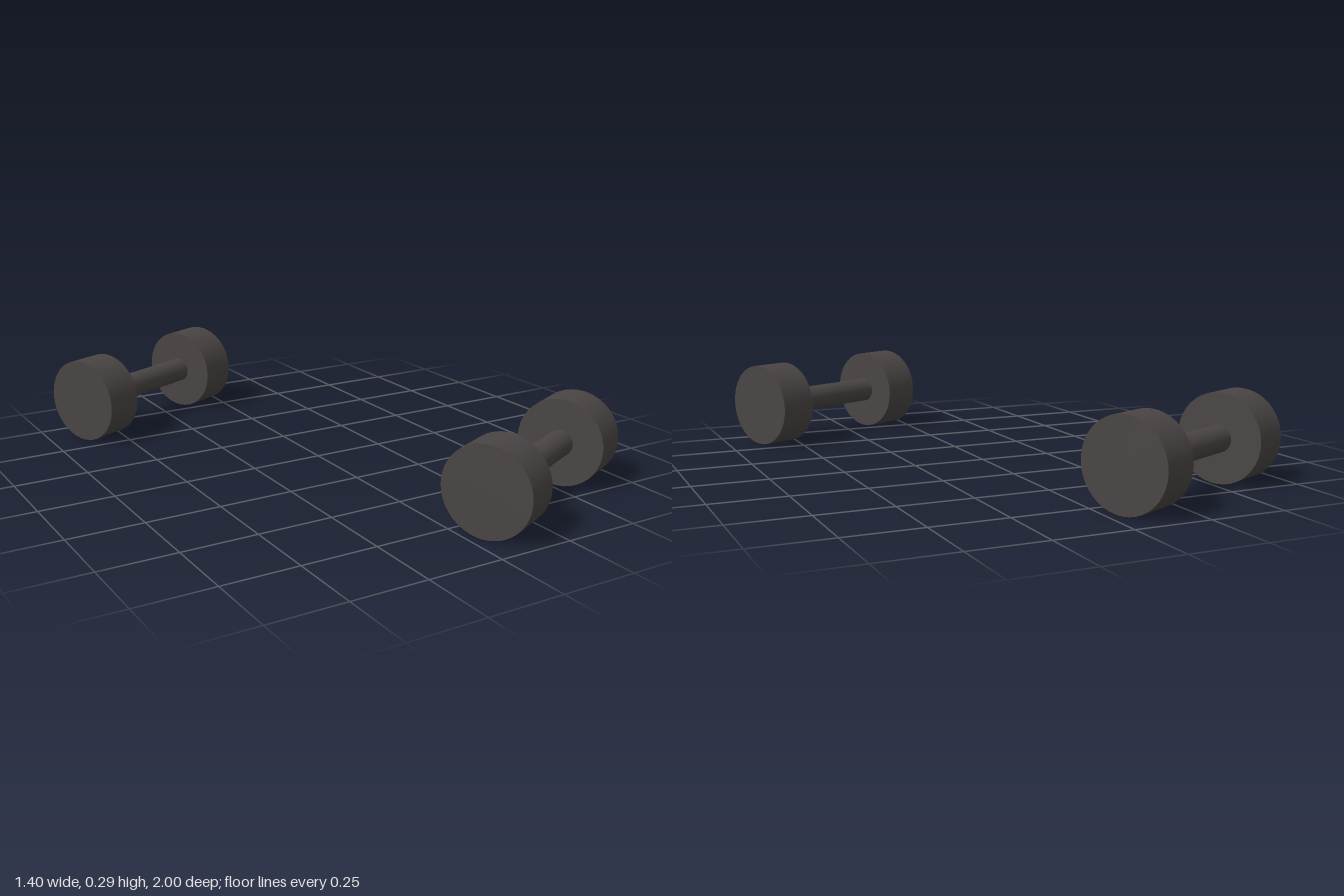
import * as THREE from 'three';

const RADIUS = 0.146;      // weight radius, also the height of the bar's axis
const THICKNESS = 0.132;   // weight thickness
const SPACING = 0.53;      // distance between weight centres

export function createModel() {
  const model = new THREE.Group();
  model.name = 'dumbbellPair';
  const iron = new THREE.MeshStandardMaterial({ color: 0x4a4544 });
  iron.name = 'dark iron';

  // Cylinder lying along x
  function rod(name, radius, length, x) {
    const geometry = new THREE.CylinderGeometry(radius, radius, length, 40);
    geometry.rotateZ(Math.PI / 2);
    const mesh = new THREE.Mesh(geometry, iron);
    mesh.name = name;
    mesh.position.x = x;
    return mesh;
  }

  // Two parallel dumbbells, one in front and one behind
  for (const side of [1, -1]) {
    const dumbbell = new THREE.Group();
    dumbbell.name = side > 0 ? 'frontDumbbell' : 'backDumbbell';
    dumbbell.add(
      rod('handle', 0.044, SPACING - THICKNESS + 0.02, 0),
      rod('leftWeight', RADIUS, THICKNESS, SPACING / 2),
      rod('rightWeight', RADIUS, THICKNESS, -SPACING / 2),
    );
    dumbbell.position.set(0.34 * side, RADIUS, 0.728 * side);
    dumbbell.rotation.y = THREE.MathUtils.degToRad(25);
    model.add(dumbbell);
  }
  return model;
}
